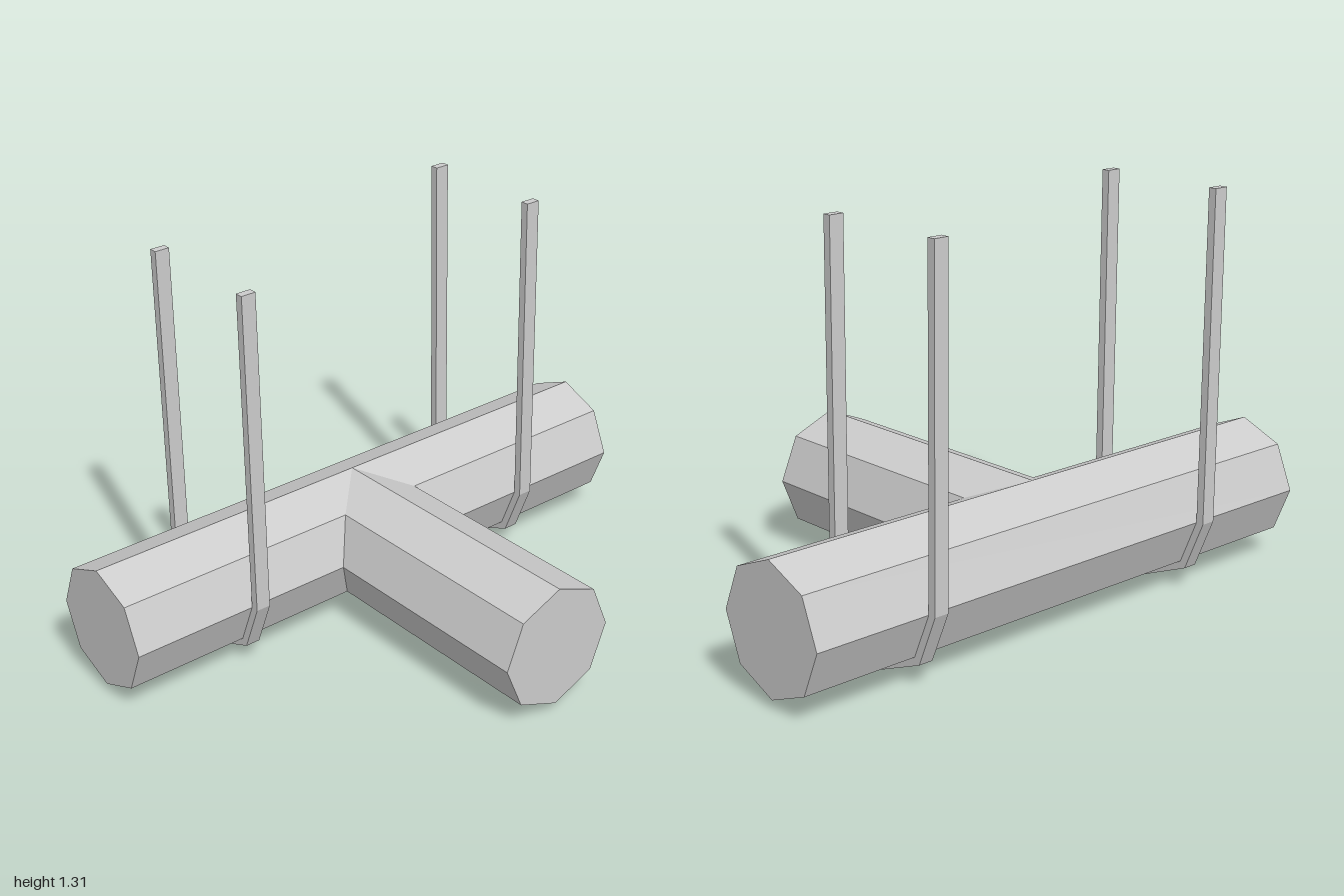
import * as THREE from 'three';

const CX = -0.381, CY = 0.238;    // axis of the main log
const R = 0.209, STRAP_R = 0.236; // log radius, outer strap radius
const TOP = 1.315, STRAP_WIDTH = 0.05;

export function createModel() {
  const model = new THREE.Group();
  const material = new THREE.MeshStandardMaterial({ color: 0xcccccc, flatShading: true });

  const add = (name, geometry, x, y, z) => {
    const mesh = new THREE.Mesh(geometry, material);
    mesh.name = name;
    mesh.position.set(x, y, z);
    model.add(mesh);
  };

  // Long octagonal log running front to back
  add('mainLog', new THREE.CylinderGeometry(R, R, 2, 8).rotateX(Math.PI / 2), CX, CY, 0);

  // Branch of the same section, meeting the main log in a mitred joint
  const length = 0.615 - CX;
  add('branchLog', new THREE.CylinderGeometry(R, R, length, 8).rotateZ(Math.PI / 2), CX + length / 2, CY, 0);

  // U-shaped hanging strap: outer line down, under the log and up, then the inner line back
  const arc = (r) => Array.from({ length: 5 }, (_, i) => {
    const a = Math.PI + i * Math.PI / 4;
    return new THREE.Vector2(r * Math.cos(a), r * Math.sin(a));
  });
  const h = TOP - CY;
  const outline = new THREE.Shape([
    new THREE.Vector2(-STRAP_R, h), ...arc(STRAP_R), new THREE.Vector2(STRAP_R, h),
    new THREE.Vector2(R, h), ...arc(R).reverse(), new THREE.Vector2(-R, h),
  ]);
  const strap = new THREE.ExtrudeGeometry(outline, { depth: STRAP_WIDTH, bevelEnabled: false });
  strap.translate(0, 0, -STRAP_WIDTH / 2);
  add('frontStrap', strap, CX, CY, 0.552);
  add('backStrap', strap, CX, CY, -0.579);

  return model;
}
